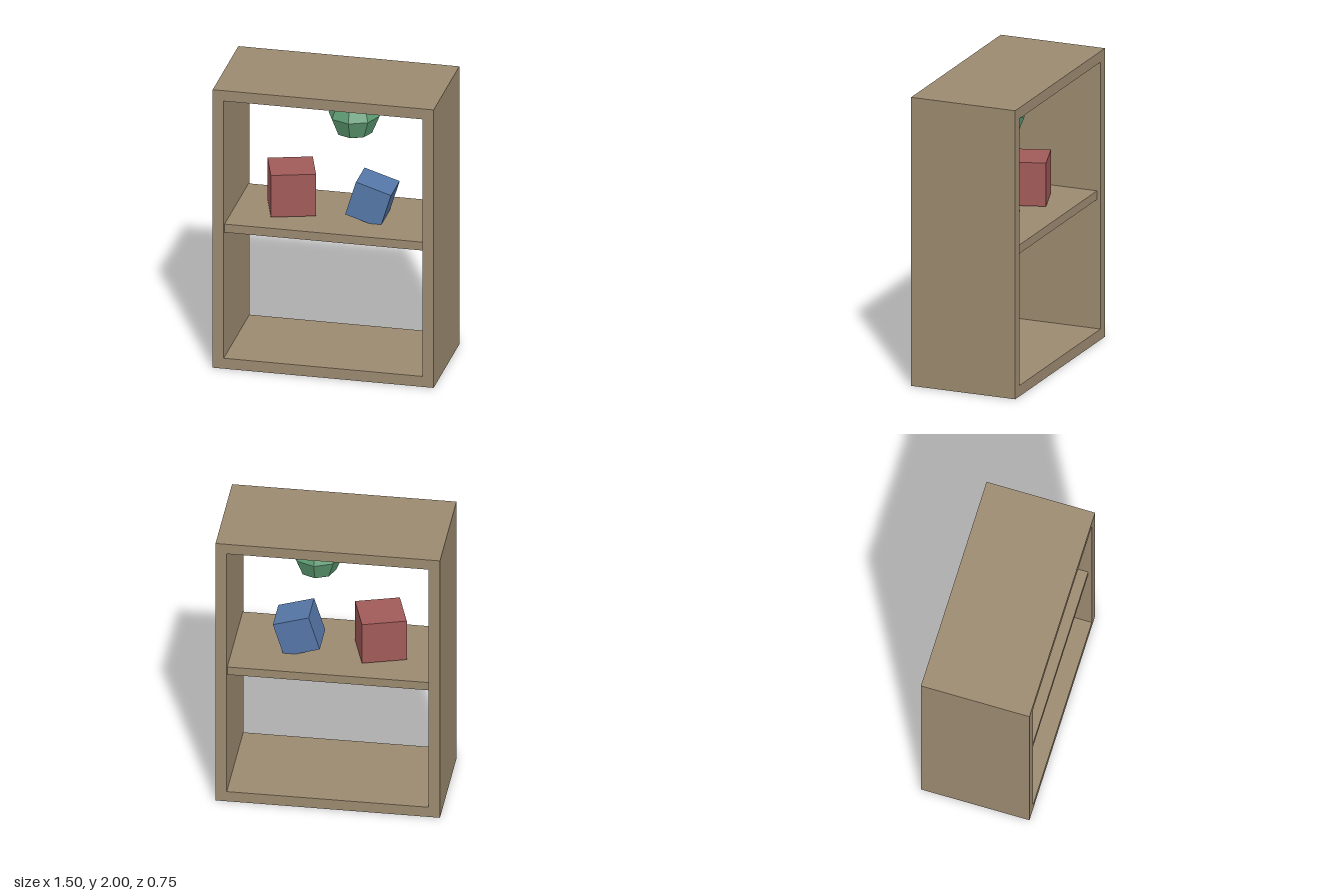
import * as THREE from 'three';

const WIDTH = 1.5, HEIGHT = 2, DEPTH = 0.75, WALL = 0.075;

function part(group, name, geometry, color, position = [0, 0, 0], rotation = [0, 0, 0]) {
  const mesh = new THREE.Mesh(geometry, new THREE.MeshStandardMaterial({ color, flatShading: true }));
  mesh.name = name;
  mesh.position.set(...position);
  mesh.rotation.set(...rotation);
  group.add(mesh);
  return mesh;
}

// Rectangle centred on x, spanning y0 to y1
function rectangle(Type, halfWidth, y0, y1) {
  return new Type([
    new THREE.Vector2(-halfWidth, y0),
    new THREE.Vector2(halfWidth, y0),
    new THREE.Vector2(halfWidth, y1),
    new THREE.Vector2(-halfWidth, y1),
  ]);
}

export function createModel() {
  const model = new THREE.Group();
  model.name = 'shelfUnit';
  const wood = 0x9c8a70;

  // Open case: one rectangular frame without front or back
  const outline = rectangle(THREE.Shape, WIDTH / 2, 0, HEIGHT);
  outline.holes.push(rectangle(THREE.Path, WIDTH / 2 - WALL, WALL, HEIGHT - WALL));
  const frame = new THREE.ExtrudeGeometry(outline, { depth: DEPTH, bevelEnabled: false });
  frame.translate(0, 0, -DEPTH / 2);
  part(model, 'frame', frame, wood);

  // Middle shelf, slightly set back from both openings
  part(model, 'shelf', new THREE.BoxGeometry(WIDTH - 2 * WALL, 0.06, 0.7), wood, [0, 1, 0]);

  // Objects in the upper compartment
  part(model, 'redBlock', new THREE.BoxGeometry(0.3, 0.3, 0.3), 0xa05a58,
    [-0.3, 1.188, 0], [0, 0.3, 0]);
  part(model, 'blueBlock', new THREE.BoxGeometry(0.25, 0.25, 0.25), 0x5577a8,
    [0.247, 1.163, 0], [0, 0, -0.3]);
  part(model, 'greenBall', new THREE.SphereGeometry(0.173, 8, 4), 0x5f9e74,
    [0.123, 1.753, 0]);

  return model;
}
